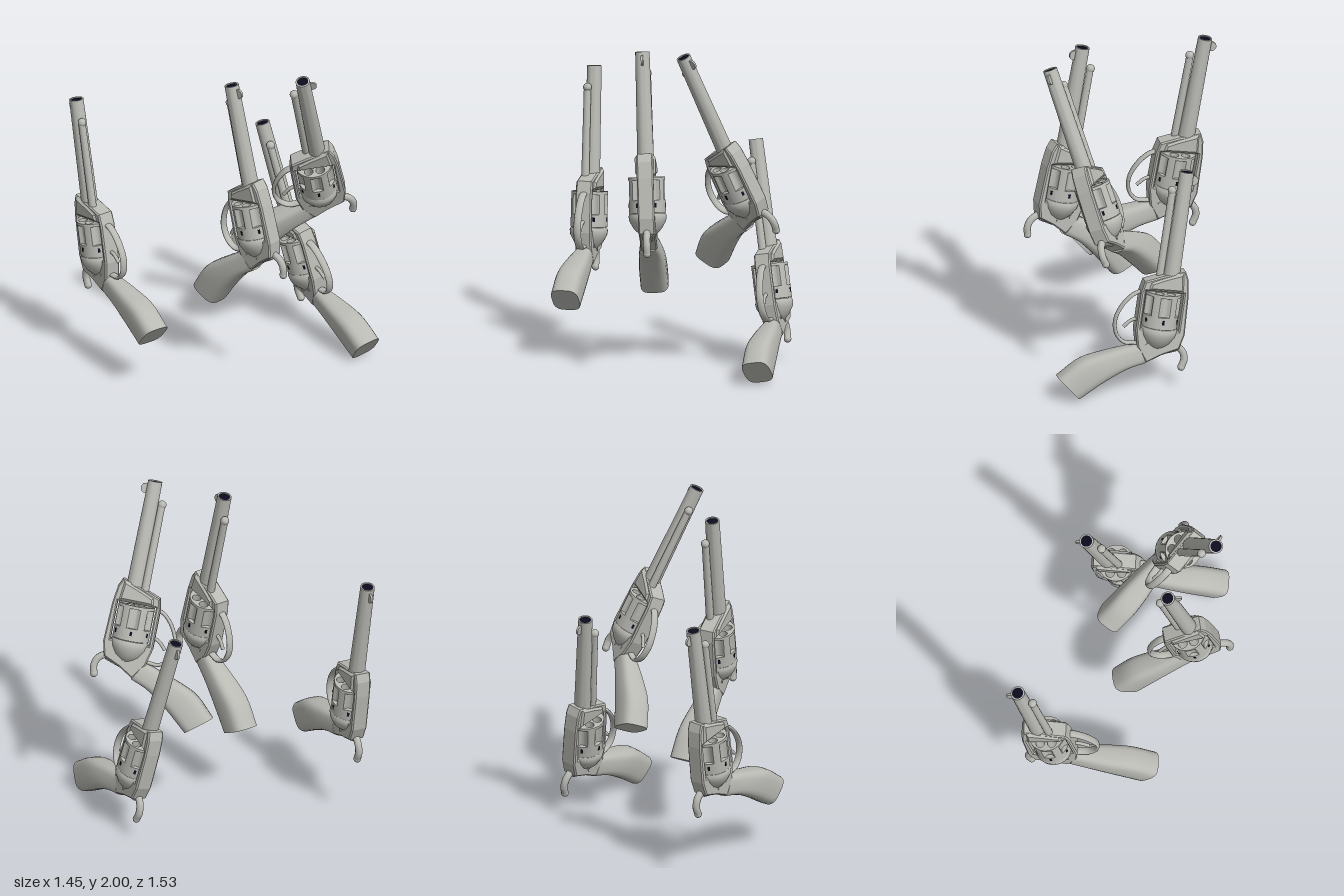
import * as THREE from 'three';
import { toCreasedNormals } from 'three/addons/utils/BufferGeometryUtils.js';

const V = (x, y, z) => new THREE.Vector3(x, y, z);
const steel = new THREE.MeshStandardMaterial({ color: 0xb9b9b4 });
steel.name = 'steel grey';
const dark = new THREE.MeshStandardMaterial({ color: 0x0b0b1e });
dark.name = 'dark bore';

const CYL_Z = -0.035; // cylinder axis below the barrel axis

function add(parent, name, geometry, material = steel, x = 0, y = 0, z = 0) {
  const mesh = new THREE.Mesh(geometry, material);
  mesh.name = name;
  mesh.position.set(x, y, z);
  parent.add(mesh);
  return mesh;
}

const lathe = (pts, seg = 28) =>
  toCreasedNormals(new THREE.LatheGeometry(pts.map(p => new THREE.Vector2(...p)), seg), 0.6);

// Side profile given as [z, y] pairs, extruded across x
function sidePlate(points, width, hole, bevel = 0.008) {
  const shape = new THREE.Shape(points.map(p => new THREE.Vector2(...p)));
  if (hole) shape.holes.push(new THREE.Path(hole.map(p => new THREE.Vector2(...p))));
  const depth = width - 2 * bevel;
  const g = new THREE.ExtrudeGeometry(shape, {
    depth, bevelEnabled: true, bevelSize: bevel, bevelOffset: -bevel, bevelThickness: bevel, bevelSegments: 1,
  });
  g.translate(0, 0, -depth / 2);
  return g.rotateY(-Math.PI / 2);
}

// Tube along [z, y] points in the middle plane
const tube = (pts, r) => new THREE.TubeGeometry(
  new THREE.CatmullRomCurve3(pts.map(([z, y]) => V(0, y, z))), 24, r, 10);

// Drum section with six chambers and, optionally, six outer flutes
function drumSection(length, fluted) {
  const shape = new THREE.Shape(), R = 0.11, n = 120;
  for (let i = 0; i < n; i++) {
    const a = (i / n) * Math.PI * 2;
    const off = ((a + Math.PI / 6) % (Math.PI / 3)) - Math.PI / 6;
    const cut = fluted ? 0.024 * Math.sqrt(Math.max(0, 1 - (off / 0.27) ** 2)) : 0;
    const r = R - cut;
    shape[i ? 'lineTo' : 'moveTo'](r * Math.cos(a), r * Math.sin(a));
  }
  for (let i = 0; i < 6; i++) {
    const a = (i + 0.5) * Math.PI / 3;
    const hole = new THREE.Path();
    hole.absarc(0.07 * Math.cos(a), 0.07 * Math.sin(a), 0.027, 0, Math.PI * 2, true);
    shape.holes.push(hole);
  }
  const g = new THREE.ExtrudeGeometry(shape, { depth: length, bevelEnabled: false, curveSegments: 16 });
  return toCreasedNormals(g.rotateX(-Math.PI / 2), 0.5);
}

// Grip lofted between its front and back edges, with rounded-box sections
function gripGeometry() {
  const front = new THREE.CatmullRomCurve3([V(0, -1.085, -0.15), V(0, -1.149, -0.334), V(0, -1.215, -0.486), V(0, -1.332, -0.61)]);
  const back = new THREE.CatmullRomCurve3([V(0, -1.2, -0.085), V(0, -1.243, -0.19), V(0, -1.333, -0.32), V(0, -1.452, -0.459)]);
  const rings = 14, sides = 24, pos = [], idx = [];
  const pow = v => Math.sign(v) * Math.abs(v) ** 0.6;
  for (let i = 0; i <= rings; i++) {
    const t = i / rings, f = front.getPoint(t), b = back.getPoint(t);
    const mid = f.clone().add(b).multiplyScalar(0.5), half = f.clone().sub(mid);
    const w = 0.05 + 0.034 * Math.sin(Math.min(1, t * 1.25) * Math.PI / 2);
    for (let j = 0; j < sides; j++) {
      const a = (j / sides) * Math.PI * 2;
      const p = mid.clone().addScaledVector(half, pow(Math.cos(a)));
      pos.push(w * pow(Math.sin(a)), p.y, p.z);
    }
  }
  for (let i = 0; i < rings; i++) for (let j = 0; j < sides; j++) {
    const a = i * sides + j, b = i * sides + (j + 1) % sides;
    idx.push(a, a + sides, b, b, a + sides, b + sides);
  }
  const last = rings * sides;
  for (let j = 1; j < sides - 1; j++) {
    idx.push(0, j, j + 1);
    idx.push(last, last + j + 1, last + j);
  }
  // Reverse the winding if the solid came out inside out
  let volume = 0;
  const at = k => V(pos[3 * k], pos[3 * k + 1], pos[3 * k + 2]);
  for (let k = 0; k < idx.length; k += 3) volume += at(idx[k]).dot(at(idx[k + 1]).cross(at(idx[k + 2])));
  if (volume < 0) idx.reverse();
  const g = new THREE.BufferGeometry();
  g.setAttribute('position', new THREE.Float32BufferAttribute(pos, 3));
  g.setIndex(idx);
  return toCreasedNormals(g, 0.65);
}

// One revolver: muzzle at the origin, barrel along +y, sight on the +z side
function createRevolver() {
  const gun = new THREE.Group();

  add(gun, 'barrel', lathe([[0.05, -0.68], [0.043, 0], [0.034, 0], [0.034, -0.012]]));
  add(gun, 'bore', new THREE.CircleGeometry(0.035, 24).rotateX(-Math.PI / 2), dark, 0, -0.006, 0);
  add(gun, 'frontSight', new THREE.CylinderGeometry(0.03, 0.03, 0.013, 20).rotateZ(Math.PI / 2), steel, 0, -0.052, 0.048);

  // Ejector rod beside the underside of the barrel
  add(gun, 'ejectorTube', new THREE.CylinderGeometry(0.022, 0.024, 0.54, 16), steel, 0.022, -0.4, -0.066);
  add(gun, 'ejectorTip', new THREE.SphereGeometry(0.026, 16, 12), steel, 0.022, -0.13, -0.068);

  // Frame with a window for the cylinder
  add(gun, 'frame', sidePlate([
    [0.075, -0.61], [0.098, -0.66], [0.112, -0.76], [0.122, -1.0], [0.1, -1.09], [0, -1.135],
    [-0.09, -1.19], [-0.155, -1.1], [-0.18, -1.0], [-0.18, -0.76], [-0.165, -0.69], [-0.06, -0.65],
  ], 0.1, [[0.082, -0.745], [-0.152, -0.745], [-0.152, -0.98], [0.082, -0.98]]));
  add(gun, 'frontCollar', sidePlate([
    [0.065, -0.615], [0.08, -0.74], [-0.14, -0.74], [-0.13, -0.69], [-0.05, -0.655],
  ], 0.124, null, 0.016));
  add(gun, 'recoilShield', lathe([
    [0, -1.11], [0.045, -1.1], [0.085, -1.06], [0.11, -1.015], [0.115, -0.985], [0.108, -0.968], [0, -0.968],
  ]), steel, 0, 0, CYL_Z);

  // Fluted cylinder with dark locking notches
  const drum = new THREE.Group();
  drum.name = 'cylinder';
  drum.position.set(0, -0.965, CYL_Z);
  gun.add(drum);
  add(drum, 'cylinderRear', drumSection(0.075, false));
  add(drum, 'cylinderFluted', drumSection(0.12, true), steel, 0, 0.075, 0);
  add(drum, 'cylinderRim', drumSection(0.018, false), steel, 0, 0.195, 0);
  add(drum, 'cylinderPin', new THREE.CylinderGeometry(0.022, 0.022, 0.24, 14), steel, 0, 0.11, 0);
  for (let i = 0; i < 6; i++) {
    const a = (i + 0.5) * Math.PI / 3;
    const notch = add(drum, 'lockingNotch', new THREE.BoxGeometry(0.014, 0.026, 0.008), dark,
      0.1075 * Math.sin(a), 0.045, 0.1075 * Math.cos(a));
    notch.rotation.y = a;
  }

  // Trigger, guard and hammer
  const guard = add(gun, 'triggerGuard', tube([
    [-0.165, -0.76], [-0.21, -0.78], [-0.27, -0.85], [-0.305, -0.95], [-0.285, -1.04], [-0.23, -1.085], [-0.14, -1.08],
  ], 0.0115));
  guard.scale.x = 2;
  add(gun, 'trigger', tube([[-0.16, -0.93], [-0.205, -0.945], [-0.25, -0.99]], 0.011));
  add(gun, 'hammer', tube([[0.04, -1.08], [0.095, -1.085], [0.135, -1.115], [0.15, -1.16], [0.14, -1.21]], 0.022));
  add(gun, 'hammerSpur', new THREE.SphereGeometry(0.023, 14, 10), steel, 0, -1.21, 0.14);
  add(gun, 'hammerBlock', sidePlate([[0.11, -1.03], [0.09, -1.11], [0, -1.14], [0, -1.03]], 0.06));

  // Frame screws on both sides
  for (const side of [-1, 1]) for (const [z, y] of [[-0.11, -0.715], [-0.1, -1.08], [-0.02, -1.1]])
    add(gun, 'frameScrew', new THREE.CylinderGeometry(0.01, 0.01, 0.008, 12).rotateZ(Math.PI / 2), steel, side * 0.05, y, z);

  add(gun, 'grip', gripGeometry());
  return gun;
}

export function createModel() {
  const model = new THREE.Group();
  // Muzzle position, barrel direction and sight direction of each revolver
  const poses = [
    ['backRightRevolver', V(-0.511, 1.63, -0.703), V(0.016, 0.983, -0.184), V(0.213, -0.182, -0.96)],
    ['middleRevolver', V(-0.177, 1.935, 0.265), V(-0.04, 0.978, -0.205), V(-0.013, 0.204, 0.979)],
    ['tallLeftRevolver', V(0.085, 1.98, 0.603), V(-0.374, 0.911, 0.173), V(0.7, 0.157, 0.7)],
    ['lowLeftRevolver', V(0.484, 1.322, -0.115), V(-0.133, 0.967, -0.218), V(0.256, -0.18, -0.95)],
  ];
  for (const [name, muzzle, barrel, sight] of poses) {
    const gun = createRevolver();
    gun.name = name;
    const up = barrel.normalize();
    const right = up.clone().cross(sight).normalize();
    const top = right.clone().cross(up);
    gun.quaternion.setFromRotationMatrix(new THREE.Matrix4().makeBasis(right, up, top));
    gun.position.copy(muzzle);
    model.add(gun);
  }
  return model;
}
